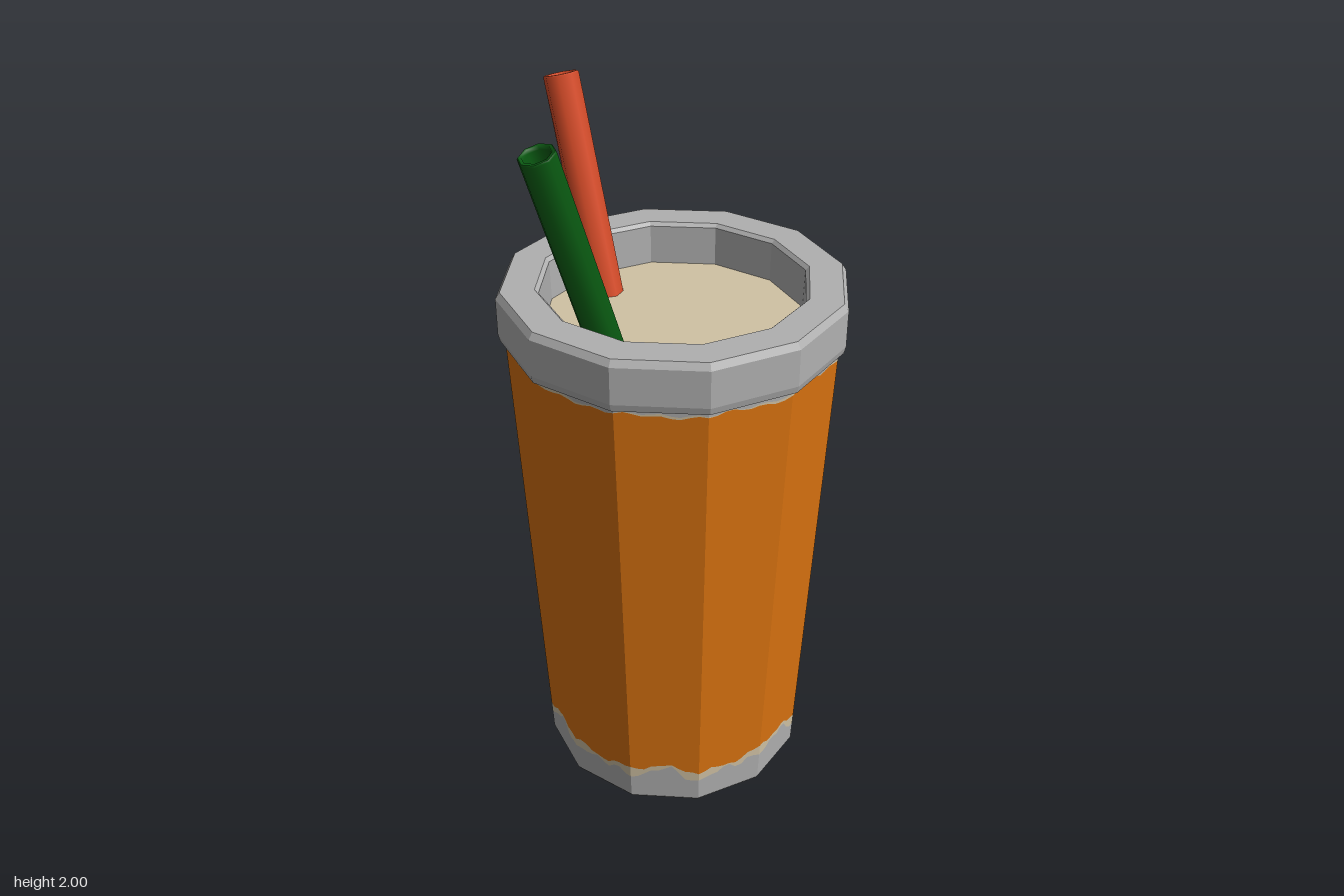
import * as THREE from 'three';

const SIDES = 12, STEPS = 10; // cup facets, and border steps along each facet
const mat = (name, color) => {
  const m = new THREE.MeshStandardMaterial({ color });
  m.name = name;
  return m;
};

const wallRadius = (y) => 0.385 + 0.064 * (y / 1.4);

// Faceted normals for a geometry
function faceted(geo) {
  const g = geo.index ? geo.toNonIndexed() : geo;
  g.computeVertexNormals();
  return g;
}

function lathe(profile, sides) {
  return new THREE.LatheGeometry(profile.map(([r, y]) => new THREE.Vector2(r, y)), sides);
}

// Point on the twelve-sided tapered wall
function wallPoint(i, y) {
  const facet = Math.floor(i / STEPS), t = (i % STEPS) / STEPS;
  const a = (facet * 2 * Math.PI) / SIDES, b = ((facet + 1) * 2 * Math.PI) / SIDES;
  const r = wallRadius(y);
  return [
    r * (Math.sin(a) * (1 - t) + Math.sin(b) * t), y,
    r * (Math.cos(a) * (1 - t) + Math.cos(b) * t),
  ];
}

// Wall band between two uneven borders
function band(low, high) {
  const p = [], n = SIDES * STEPS;
  for (let i = 0; i < n; i++) {
    const j = i + 1;
    const a = wallPoint(i, low(i)), b = wallPoint(j, low(j));
    const c = wallPoint(j, high(j)), d = wallPoint(i, high(i));
    p.push(...a, ...b, ...c, ...a, ...c, ...d);
  }
  const g = new THREE.BufferGeometry();
  g.setAttribute('position', new THREE.Float32BufferAttribute(p, 3));
  return faceted(g);
}

// Ragged, repeating border heights
const wave = (i, k, phase) => Math.sin((i * k * 2 * Math.PI) / (SIDES * STEPS) + phase);
const labelBottom = (i) => 0.127 + 0.012 * wave(i, 7, 1) + 0.008 * wave(i, 17, 2) + 0.004 * wave(i, 41, 0);
const creamBottom = (i) =>
  labelBottom(i) - 0.022 - 0.012 * wave(i, 12, 1.6) - 0.008 * wave(i, 29, 0.5);
const labelTop = (i) => 1.382 + 0.005 * wave(i, 11, 0) + 0.004 * wave(i, 31, 1);
const creamTop = (i) => labelTop(i) + 0.004 + 0.003 * wave(i, 9, 2);

export function createModel() {
  const group = new THREE.Group();
  const grey = mat('grey', 0xb0b0b0);
  const orange = mat('orange', 0xd87210);
  const cream = mat('cream', 0xd0c2a4);
  const green = mat('green', 0x0a5a12);
  const red = mat('red', 0xd84c28);

  const add = (name, geo, material) => {
    const mesh = new THREE.Mesh(geo, material);
    mesh.name = name;
    group.add(mesh);
    return mesh;
  };

  // Cup wall, from the foot up to the rim
  add('cupFoot', faceted(lathe([[0, 0], [0.378, 0], [wallRadius(0.012), 0.012]], SIDES)), grey);
  add('lowerCup', band(() => 0.012, creamBottom), grey);
  add('lowerLabelEdge', band(creamBottom, labelBottom), cream);
  add('label', band(labelBottom, labelTop), orange);
  add('upperLabelEdge', band(labelTop, creamTop), cream);
  add('upperCup', band(creamTop, () => 1.41), grey);

  // Thick rim, open in the middle
  add('rim', faceted(lathe([
    [0.44, 1.395], [0.462, 1.4], [0.467, 1.42], [0.467, 1.522],
    [0.455, 1.54], [0.365, 1.54], [0.355, 1.53], [0.352, 1.41],
  ], SIDES)), grey);

  // Drink surface
  const drink = add('drink', new THREE.CircleGeometry(0.36, SIDES), cream);
  drink.rotation.x = -Math.PI / 2;
  drink.position.y = 1.42;

  // Hollow straws leaning outwards
  const straw = (name, bottom, top, material) => {
    const from = new THREE.Vector3(...bottom), to = new THREE.Vector3(...top);
    const dir = to.clone().sub(from), h = dir.length();
    const mesh = add(name, lathe([[0.048, 0], [0.048, h - 0.004], [0.045, h]], 8), material);
    const bore = new THREE.Mesh(lathe([[0.045, h], [0.037, h], [0.036, h - 0.01], [0.036, 0.02], [0, 0.02]], 8), material);
    bore.name = name + 'Bore';
    mesh.add(bore);
    mesh.position.copy(from);
    mesh.quaternion.setFromUnitVectors(new THREE.Vector3(0, 1, 0), dir.normalize());
  };
  straw('greenStraw', [-0.228, 1.4, 0.01], [-0.42, 1.986, 0.01], green);
  straw('redStraw', [-0.032, 1.4, -0.246], [-0.032, 1.986, -0.416], red);

  return group;
}
